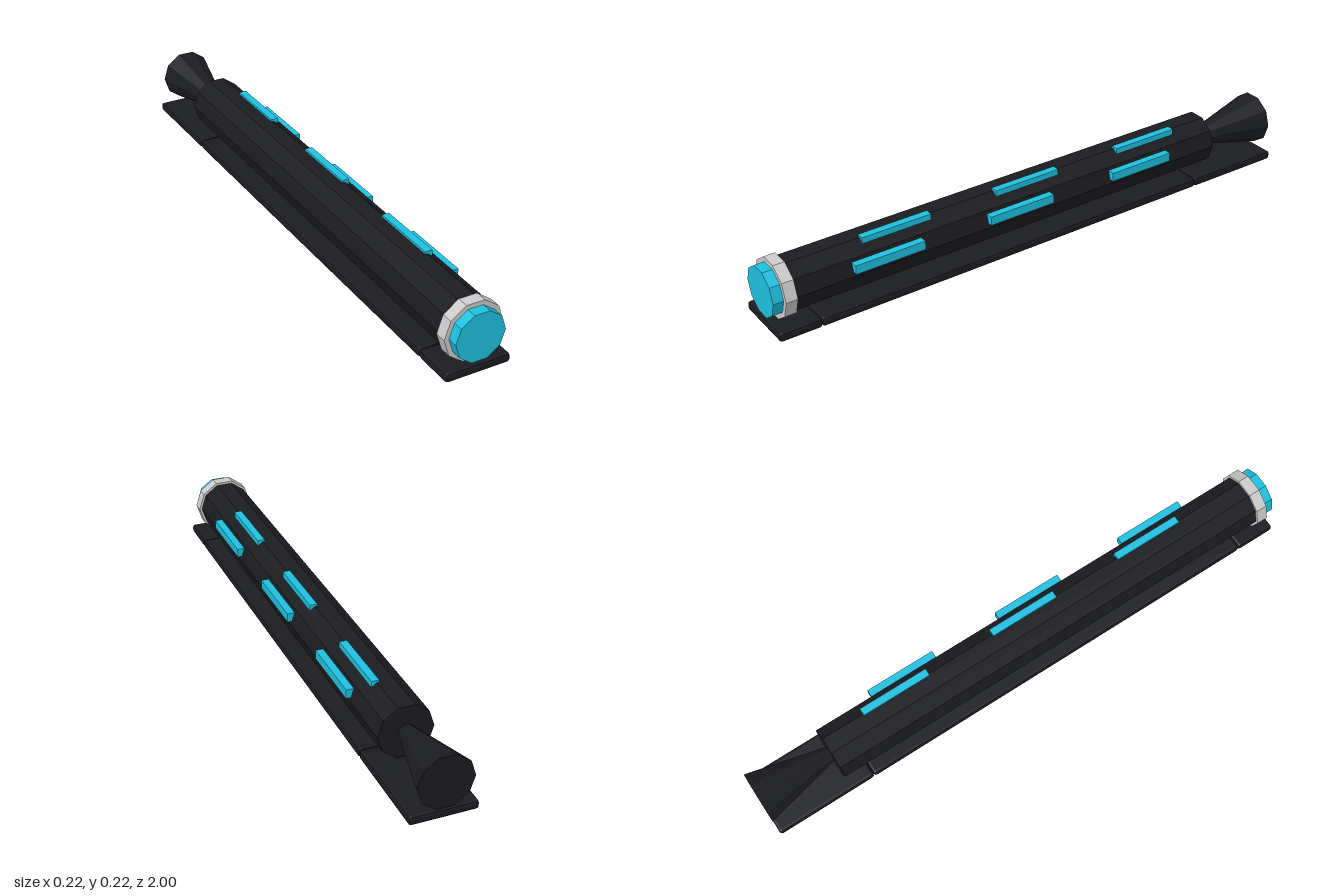
import * as THREE from 'three';
import { RoundedBoxGeometry } from 'three/addons/geometries/RoundedBoxGeometry.js';

const material = (color) => new THREE.MeshStandardMaterial({ color, flatShading: true });

export function createModel() {
  const model = new THREE.Group();
  model.name = 'model';
  const black = material(0x1b1c20);
  const cyan = material(0x1fc0e0);
  const grey = material(0xcccccc);
  const axisY = 0.126;

  function add(name, geometry, mat, x, y, z) {
    const mesh = new THREE.Mesh(geometry, mat);
    mesh.name = name;
    mesh.position.set(x, y, z);
    model.add(mesh);
  }

  // Ten-sided section along z, flat on top, between two z positions
  function section(name, mat, frontZ, backZ, frontR, backR = frontR) {
    const g = new THREE.CylinderGeometry(frontR, backR, frontZ - backZ, 10, 1, false, Math.PI / 2);
    g.rotateX(Math.PI / 2);
    add(name, g, mat, 0, axisY, (frontZ + backZ) / 2);
  }

  section('frontLens', cyan, 1, 0.95, 0.086);
  section('collar', grey, 0.965, 0.925, 0.102);
  section('body', black, 0.93, -0.73, 0.093);
  section('tailCone', black, -0.72, -1, 0.025, 0.093);

  // Bevelled base plates laid end to end
  for (const [name, front, back] of [
    ['frontBase', 1, 0.855],
    ['middleBase', 0.855, -0.64],
    ['rearBase', -0.64, -1],
  ]) {
    add(name, new RoundedBoxGeometry(0.224, 0.03, front - back, 1, 0.009), black, 0, 0.015, (front + back) / 2);
  }

  // Two rows of light strips, on the top and the left side
  for (let i = 0; i < 3; i++) {
    add('topStrip' + (i + 1), new THREE.BoxGeometry(0.026, 0.03, 0.25), cyan, 0.034, 0.207, 0.543 - i * 0.498);
    add('sideStrip' + (i + 1), new THREE.BoxGeometry(0.03, 0.031, 0.25), cyan, 0.089, 0.155, 0.601 - i * 0.498);
  }
  return model;
}
